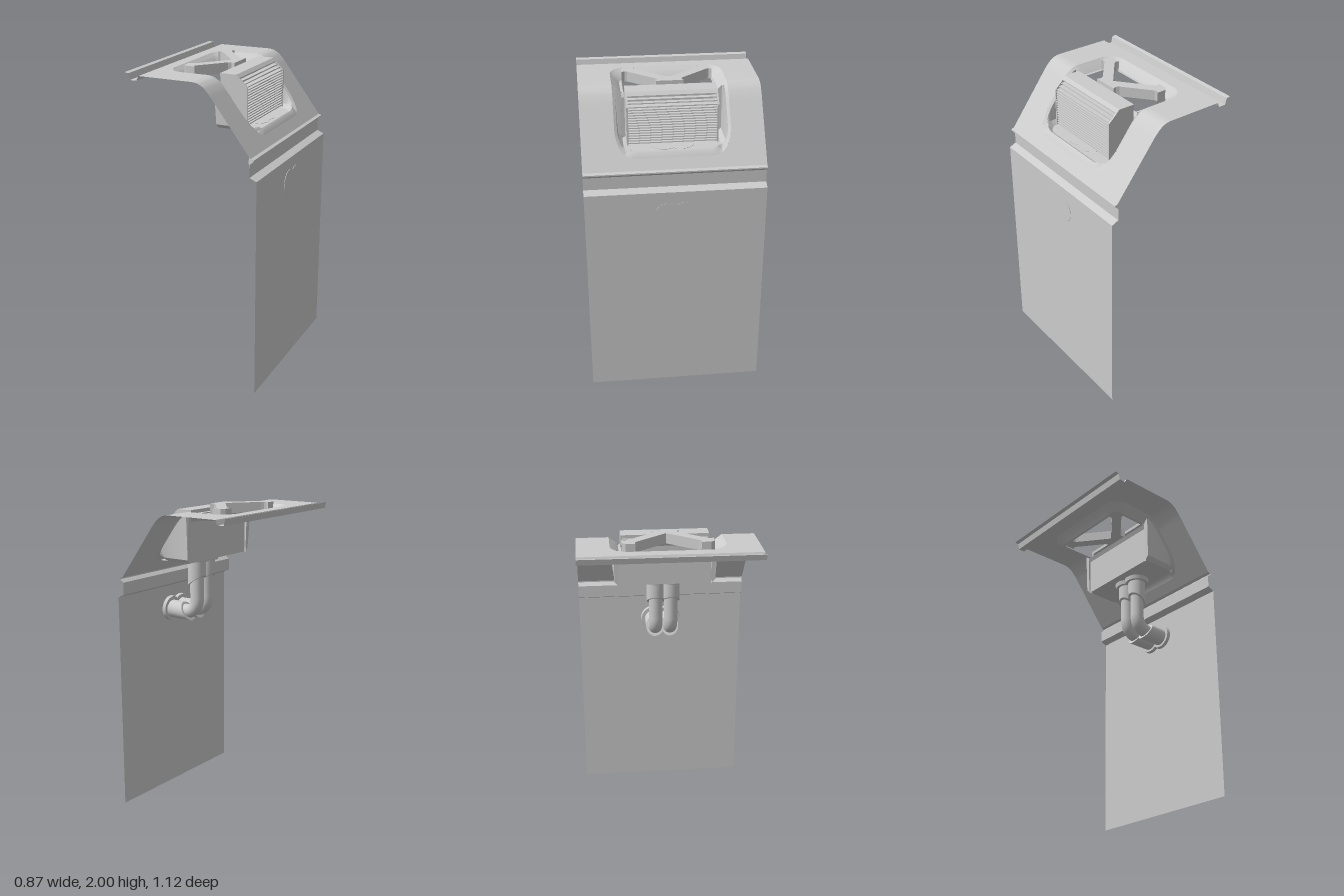
import * as THREE from 'three';
import { toCreasedNormals } from 'three/addons/utils/BufferGeometryUtils.js';

const solid = new THREE.MeshStandardMaterial({ color: 0xcccccc });
const thin = new THREE.MeshStandardMaterial({ color: 0xcccccc, side: THREE.DoubleSide });
const HALF = 0.56; // half depth of the sheet
const RIM = { x0: -0.27, x1: 0.345, hz: 0.355, r: 0.11 }; // opening for the basin

// Cross-section of the sheet (x, y): rear lip, flat top, bend, slope, front groove, panel
const rearLip = [[-0.44, 1.99], [-0.415, 1.985], [-0.405, 1.945], [-0.36, 1.945], [-0.345, 1.975]];
const cover = [[-0.345, 1.975], [0.02, 1.975], [0.055, 1.968], [0.09, 1.947], [0.125, 1.91], [0.39, 1.56]];
const frontLip = [[0.39, 1.56], [0.41, 1.553], [0.41, 1.545], [0.385, 1.525], [0.385, 1.445], [0.43, 1.425]];

function coverY(x) {
  let i = 1;
  while (i < cover.length - 1 && x > cover[i][0]) i++;
  const [a, b] = [cover[i - 1], cover[i]];
  return a[1] + (b[1] - a[1]) * (x - a[0]) / (b[0] - a[0]);
}

// Skin between rows of points that all have the same length
function skin(rows) {
  const n = rows[0].length, index = [];
  for (let i = 0; i < rows.length - 1; i++)
    for (let j = 0; j < n - 1; j++) {
      const a = i * n + j, b = a + n;
      index.push(a, a + 1, b, b, a + 1, b + 1);
    }
  const g = new THREE.BufferGeometry();
  g.setAttribute('position', new THREE.Float32BufferAttribute(rows.flat(2), 3));
  g.setIndex(index);
  return toCreasedNormals(g, 0.5);
}

function roundedRect(x0, x1, hz, r, Type = THREE.Shape) {
  const s = new Type();
  s.moveTo(x0 + r, -hz);
  s.lineTo(x1 - r, -hz);
  s.absarc(x1 - r, -hz + r, r, -Math.PI / 2, 0);
  s.lineTo(x1, hz - r);
  s.absarc(x1 - r, hz - r, r, 0, Math.PI / 2);
  s.lineTo(x0 + r, hz);
  s.absarc(x0 + r, hz - r, r, Math.PI / 2, Math.PI);
  s.lineTo(x0, -hz + r);
  s.absarc(x0 + r, -hz + r, r, Math.PI, Math.PI * 1.5);
  return s;
}

function polygon(points) {
  return new THREE.Shape(points.map(p => new THREE.Vector2(...p)));
}

// Half width of the opening at a given x
function openingWidth(x) {
  const { x0, x1, hz, r } = RIM;
  const d = Math.min(x - x0, x1 - x);
  if (d < -1e-9) return 0;
  return d < r ? hz - r + Math.sqrt(Math.max(0, r * r - (r - d) ** 2)) : hz;
}

export function createModel() {
  const model = new THREE.Group();
  const add = (name, geometry, material = solid, parent = model) => {
    const m = new THREE.Mesh(geometry, material);
    m.name = name;
    parent.add(m);
    return m;
  };
  const strip = pts => skin(pts.map(([x, y]) => [[x, y, -HALF], [x, y, HALF]]));

  // Sheet: plain strips, and the cover with its opening
  add('rearLip', strip(rearLip), thin);
  add('frontLip', strip(frontLip), thin);
  add('frontPanel', strip([[0.43, 1.425], [0.43, 0]]), thin);
  add('rearCover', strip([cover[0], [RIM.x0, 1.975]]), thin);
  add('lowerSlope', strip([[RIM.x1, coverY(RIM.x1)], cover[5]]), thin);
  const xs = [];
  for (let i = 0; i <= 80; i++) {
    // points gather at the rounded corners
    const t = (1 - Math.cos(Math.PI * i / 80)) / 2;
    xs.push(RIM.x0 + (RIM.x1 - RIM.x0) * t);
  }
  for (const s of [-1, 1])
    add('coverSide', skin(xs.map(x => [[x, coverY(x), s * openingWidth(x)], [x, coverY(x), s * HALF]])), thin);

  // Basin: shallow shelf at the rear, deep pocket at the front
  const basin = new THREE.Group();
  basin.name = 'basin';
  model.add(basin);
  const base = roundedRect(RIM.x0, RIM.x1, RIM.hz, RIM.r).getSpacedPoints(200);
  const bottom = x => (x < 0.05 ? 1.925 : 1.643);
  const ring = (x0, x1, hz, height) => base.map(p => {
    const x = x0 + (x1 - x0) * (p.x - RIM.x0) / (RIM.x1 - RIM.x0);
    return [x, height(x), p.y * hz / RIM.hz];
  });
  add('basinWall', skin([
    ring(-0.27, 0.345, 0.355, coverY),
    ring(-0.25, 0.328, 0.338, x => Math.max(coverY(x) - 0.015, bottom(x) + 0.005)),
    ring(-0.235, 0.318, 0.325, x => Math.min(coverY(x), bottom(x) + 0.025)),
    ring(-0.215, 0.3, 0.3, bottom),
  ]), thin, basin);
  const shelf = roundedRect(-0.215, 0.05, 0.3, 0.03);
  shelf.holes.push(roundedRect(-0.198, 0.049, 0.283, 0.02, THREE.Path));
  const flat = (shape, y) => new THREE.ShapeGeometry(shape).rotateX(Math.PI / 2).translate(0, y, 0);
  add('shelf', flat(shelf, 1.925), thin, basin);
  add('pocketFloor', flat(roundedRect(0.06, 0.305, 0.3, 0.03), 1.643), thin, basin);
  add('pocketBack', skin([
    [[0.045, 1.925, -0.3], [0.045, 1.925, 0.3]],
    [[0.06, 1.9, -0.3], [0.06, 1.9, 0.3]],
    [[0.06, 1.643, -0.3], [0.06, 1.643, 0.3]],
  ]), thin, basin);

  // Grille: braced arms, top cap, end cheeks and horizontal slats
  const grille = new THREE.Group();
  grille.name = 'grille';
  model.add(grille);
  const half = [[0, 0], [-0.15, 0.185], [-0.165, 0.2], [-0.18, 0.205], [-0.195, 0.2], [-0.195, 0.26],
    [-0.175, 0.283], [-0.115, 0.283], [-0.125, 0.265], [-0.12, 0.25], [0.015, 0.085], [0.035, 0.073], [0.06, 0.085]];
  const arms = polygon([...half, ...half.slice(1).reverse().map(([x, z]) => [x, -z])]);
  add('braceArms', new THREE.ExtrudeGeometry(arms, { depth: 0.065, bevelEnabled: false })
    .rotateX(Math.PI / 2).translate(0, 2, 0), solid, grille);
  const alongZ = (pts, z0, z1) => new THREE.ExtrudeGeometry(polygon(pts), { depth: z1 - z0, bevelEnabled: false })
    .translate(0, 0, z0);
  add('topCap', alongZ([[0.058, 1.955], [0.185, 1.95], [0.185, 1.957], [0.165, 1.976], [0.058, 1.976]], -0.28, 0.28),
    solid, grille);
  const cheek = [[0.06, 1.66], [0.24, 1.66], [0.24, 1.905], [0.165, 1.975], [0.06, 1.975]];
  for (const z of [-0.28, 0.27]) add('endCheek', alongZ(cheek, z, z + 0.01), solid, grille);
  for (let i = 0; i < 18; i++) {
    const y = 1.672 + i * 0.0165;
    const front = Math.min(0.238, 0.238 - (y - 1.9) * 1.07);
    const back = Math.min(0.188, front - 0.03);
    add('slat', new THREE.BoxGeometry(front - back, 0.007, 0.55).translate((front + back) / 2, y, 0), solid, grille);
  }

  // Twin drain: collar, cut sleeve, elbow pipe, cut sleeve and end flange
  const cutSleeve = (length, slant) => {
    const g = new THREE.CylinderGeometry(0.06, 0.06, length, 32).translate(0, -length / 2, 0);
    const p = g.attributes.position;
    for (let i = 0; i < p.count; i++)
      if (p.getY(i) < -length / 2) p.setY(i, -length - slant * p.getX(i) / 0.06);
    g.computeVertexNormals();
    return toCreasedNormals(g, 0.6);
  };
  const elbow = new THREE.CurvePath();
  const v = (x, y) => new THREE.Vector3(x, y, 0);
  elbow.add(new THREE.LineCurve3(v(0.197, 1.55), v(0.197, 1.36)));
  elbow.add(new THREE.CubicBezierCurve3(v(0.197, 1.36), v(0.197, 1.3), v(0.23, 1.263), v(0.29, 1.263)));
  elbow.add(new THREE.LineCurve3(v(0.29, 1.263), v(0.36, 1.263)));
  for (const z of [-0.05, 0.05]) {
    const drain = new THREE.Group();
    drain.name = 'drainPipe';
    drain.position.z = z;
    model.add(drain);
    add('collar', new THREE.CylinderGeometry(0.085, 0.08, 0.03, 32).translate(0.197, 1.63, 0), solid, drain);
    add('upperSleeve', cutSleeve(0.14, 0.04).translate(0.197, 1.62, 0), solid, drain);
    add('elbow', new THREE.TubeGeometry(elbow, 48, 0.046, 24), solid, drain);
    add('lowerSleeve', cutSleeve(0.135, 0.035).rotateZ(-Math.PI / 2).translate(0.41, 1.263, 0), solid, drain);
    add('flange', new THREE.CylinderGeometry(0.085, 0.08, 0.025, 32).rotateZ(-Math.PI / 2)
      .translate(0.4205, 1.267, 0), solid, drain);
  }
  return model;
}
